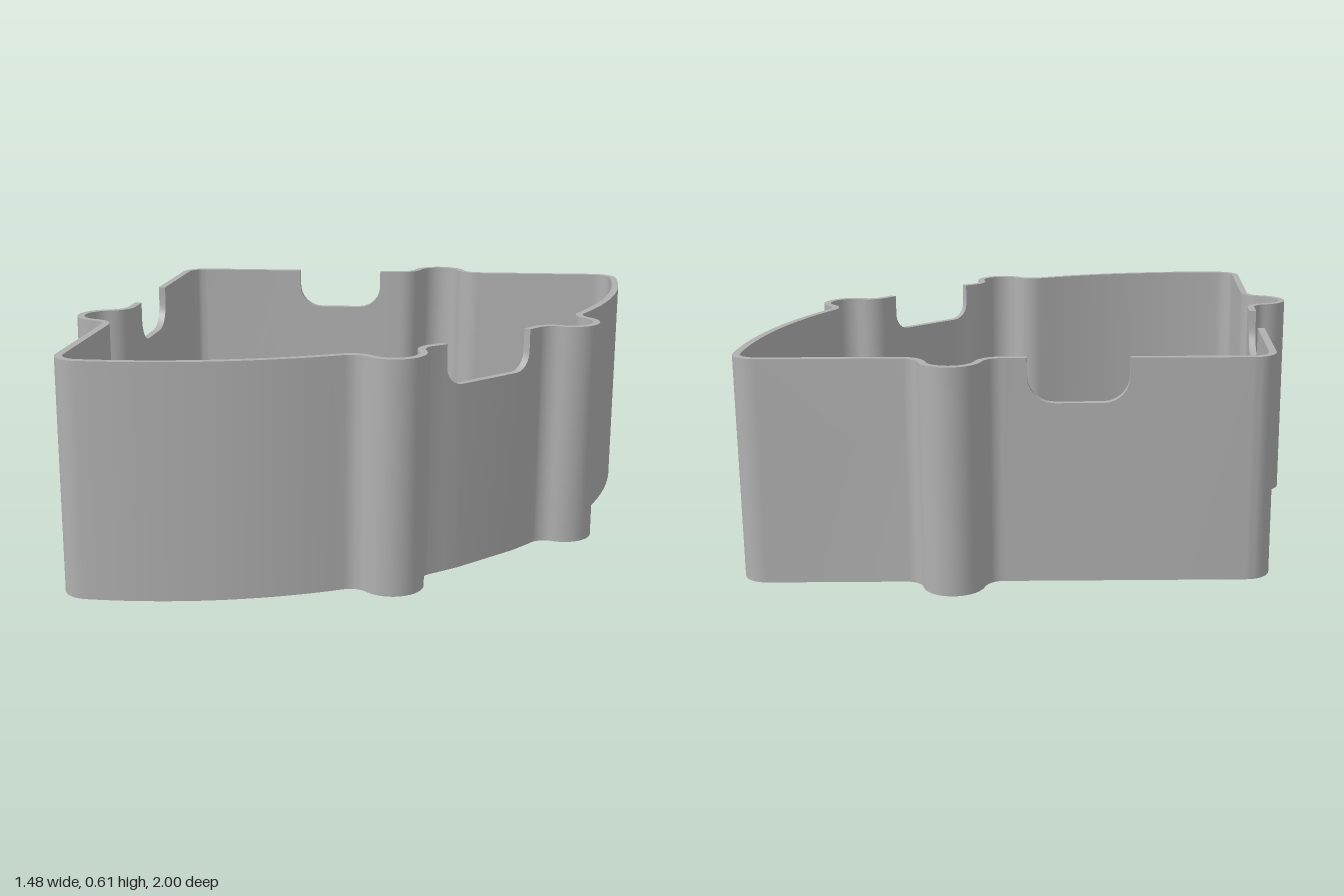
import * as THREE from 'three';
import { toCreasedNormals } from 'three/addons/utils/BufferGeometryUtils.js';

// Sector-shaped enclosure; plan coordinates are (x, v) with the apex at the origin, v = -z.
const APEX_X = -0.675, R = 1.28, HALF = THREE.MathUtils.degToRad(46.6);
const H = 0.61, LEDGE = 0.075, FLOOR = 0.03;
const OUT = 0.07, INN = 0.05;            // wall offsets from the pocket outline
const BOSS = 0.013, FIL = 0.12;          // boss and fillet radii at zero offset
const HOLE = 0.042;
const u = [Math.cos(HALF), Math.sin(HALF)], n = [-u[1], u[0]];
const onWall = (t, d) => [t * u[0] + d * n[0], t * u[1] + d * n[1]];
const polar = (r, a) => [r * Math.cos(a), r * Math.sin(a)];
const angleTo = (p, q) => Math.atan2(q[1] - p[1], q[0] - p[0]);

const WALL_BOSS_T = 0.779, WALL_BOSS_D = 0.093;
const wallBoss = onWall(WALL_BOSS_T, WALL_BOSS_D);
const arcBoss = [1.328, 0.317];

// Half of a round-cornered notch: distance from its middle, and wall height
function halfNotch(width, bottom, r) {
  const pts = [[width / 2, H]];
  for (let i = 0; i <= 6; i++) {
    const a = (i / 6) * Math.PI / 2;
    pts.push([width / 2 - r + r * Math.cos(a), bottom + r - r * Math.sin(a)]);
  }
  return pts;
}

// Samples of the outline: base point, outward normal and wall height
function outline() {
  const s = [];
  const add = (p, nx, nv, h = H) => s.push({ x: p[0], v: p[1], nx, nv, h });
  const arc = (c, r, sign, a0, a1, ccw, count) => {
    while (ccw && a1 < a0) a1 += 2 * Math.PI;
    while (ccw && a1 > a0 + 2 * Math.PI) a1 -= 2 * Math.PI;
    while (!ccw && a1 > a0) a1 -= 2 * Math.PI;
    while (!ccw && a1 < a0 - 2 * Math.PI) a1 += 2 * Math.PI;
    for (let i = 0; i <= count; i++) {
      const d = polar(1, a0 + (a1 - a0) * i / count);
      add([c[0] + r * d[0], c[1] + r * d[1]], sign * d[0], sign * d[1]);
    }
  };
  // fillet, boss, fillet
  const bossRun = (f1, boss, f2, start, end) => {
    arc(f1, FIL, -1, start, angleTo(f1, boss), true, 8);
    arc(boss, BOSS, 1, angleTo(boss, f1), angleTo(boss, f2), false, 18);
    arc(f2, FIL, -1, angleTo(f2, boss), end, true, 8);
  };

  // apex corner and straight wall with notch
  arc([0, 0], 0, 1, Math.PI, HALF + Math.PI / 2, false, 5);
  const notch = halfNotch(0.267, 0.49, 0.07);
  notch.forEach(([w, h]) => add(onWall(0.45 - w, 0), n[0], n[1], h));
  [...notch].reverse().forEach(([w, h]) => add(onWall(0.45 + w, 0), n[0], n[1], h));

  // straight wall boss
  const span = Math.sqrt((BOSS + FIL) ** 2 - (FIL - WALL_BOSS_D) ** 2);
  bossRun(onWall(WALL_BOSS_T - span, FIL), wallBoss, onWall(WALL_BOSS_T + span, FIL),
    HALF - Math.PI / 2, HALF - Math.PI / 2);

  // outer corner, curved wall and its boss
  arc(onWall(R, 0), 0, 1, HALF + Math.PI / 2, HALF, false, 8);
  const D = Math.hypot(...arcBoss), B = R + FIL, beta = Math.atan2(arcBoss[1], arcBoss[0]);
  const delta = Math.acos((D * D + B * B - (BOSS + FIL) ** 2) / (2 * D * B));
  arc([0, 0], R, 1, HALF, beta + delta, false, 18);
  bossRun(polar(B, beta + delta), arcBoss, polar(B, beta - delta),
    beta + delta + Math.PI, beta - delta + Math.PI);

  // curved wall notch, up to the plane of symmetry
  halfNotch(0.3, 0.5, 0.05).forEach(([w, h]) => {
    const d = polar(1, w / (R + OUT));
    add([R * d[0], R * d[1]], d[0], d[1], h);
  });
  const mirrored = s.map(p => ({ ...p, v: -p.v, nv: -p.nv })).reverse();
  return [...s, ...mirrored];
}

const samples = outline();
const planPoint = (p, d) => new THREE.Vector2(APEX_X + p.x + d * p.nx, p.v + d * p.nv);

// Outline as a closed list of distinct points
function planOutline(d) {
  const pts = [];
  for (const s of samples) {
    const p = planPoint(s, d);
    if (!pts.length || p.distanceTo(pts[pts.length - 1]) > 1e-5) pts.push(p);
  }
  if (pts[0].distanceTo(pts[pts.length - 1]) < 1e-5) pts.pop();
  return pts;
}

// Thin wall whose top follows the height of each sample
function wallGeometry() {
  const pos = [];
  const tri = (a, b, c) => {
    const area = b.clone().sub(a).cross(c.clone().sub(a)).length();
    if (area > 1e-8) for (const p of [a, b, c]) pos.push(p.x, p.y, p.z);
  };
  const quad = (a, b, c, d) => { tri(a, b, c); tri(a, c, d); };
  const at = (s, d, y) => {
    const p = planPoint(s, d);
    return new THREE.Vector3(p.x, y, -p.y);
  };
  samples.forEach((a, i) => {
    const b = samples[(i + 1) % samples.length];
    const [oa, ob, ia, ib] = [at(a, OUT, 0), at(b, OUT, 0), at(a, INN, 0), at(b, INN, 0)];
    const [oaT, obT, iaT, ibT] = [at(a, OUT, a.h), at(b, OUT, b.h), at(a, INN, a.h), at(b, INN, b.h)];
    quad(ob, oa, oaT, obT);
    quad(ia, ib, ibT, iaT);
    quad(iaT, ibT, obT, oaT);
    quad(oa, ob, ib, ia);
  });
  const g = new THREE.BufferGeometry();
  g.setAttribute('position', new THREE.Float32BufferAttribute(pos, 3));
  return toCreasedNormals(g, 0.5);
}

function slab(shape, y, height) {
  const g = new THREE.ExtrudeGeometry(shape, { depth: height, bevelEnabled: false, curveSegments: 24 });
  g.rotateX(-Math.PI / 2).translate(0, y, 0);
  return toCreasedNormals(g, 0.5);
}

export function createModel() {
  const group = new THREE.Group();
  group.name = 'sectorEnclosure';
  const grey = new THREE.MeshStandardMaterial({ color: 0xb0b0b0 });
  grey.name = 'grey plastic';
  const addPart = (name, geometry) => {
    const mesh = new THREE.Mesh(geometry, grey);
    mesh.name = name;
    group.add(mesh);
  };

  addPart('wall', wallGeometry());
  addPart('floor', slab(new THREE.Shape(planOutline(INN)), 0, FLOOR));

  // ledge with the sector pocket and four screw holes
  const ledge = new THREE.Shape(planOutline(INN));
  const pocket = [new THREE.Vector2(APEX_X, 0)];
  for (let i = 0; i <= 40; i++) {
    const p = polar(R, -HALF + 2 * HALF * i / 40);
    pocket.push(new THREE.Vector2(APEX_X + p[0], p[1]));
  }
  ledge.holes.push(new THREE.Path(pocket));
  for (const [x, v] of [wallBoss, arcBoss]) {
    for (const side of [1, -1]) {
      ledge.holes.push(new THREE.Path().absarc(APEX_X + x, side * v, HOLE, 0, Math.PI * 2, false));
    }
  }
  addPart('ledge', slab(ledge, FLOOR, LEDGE - FLOOR));
  return group;
}
